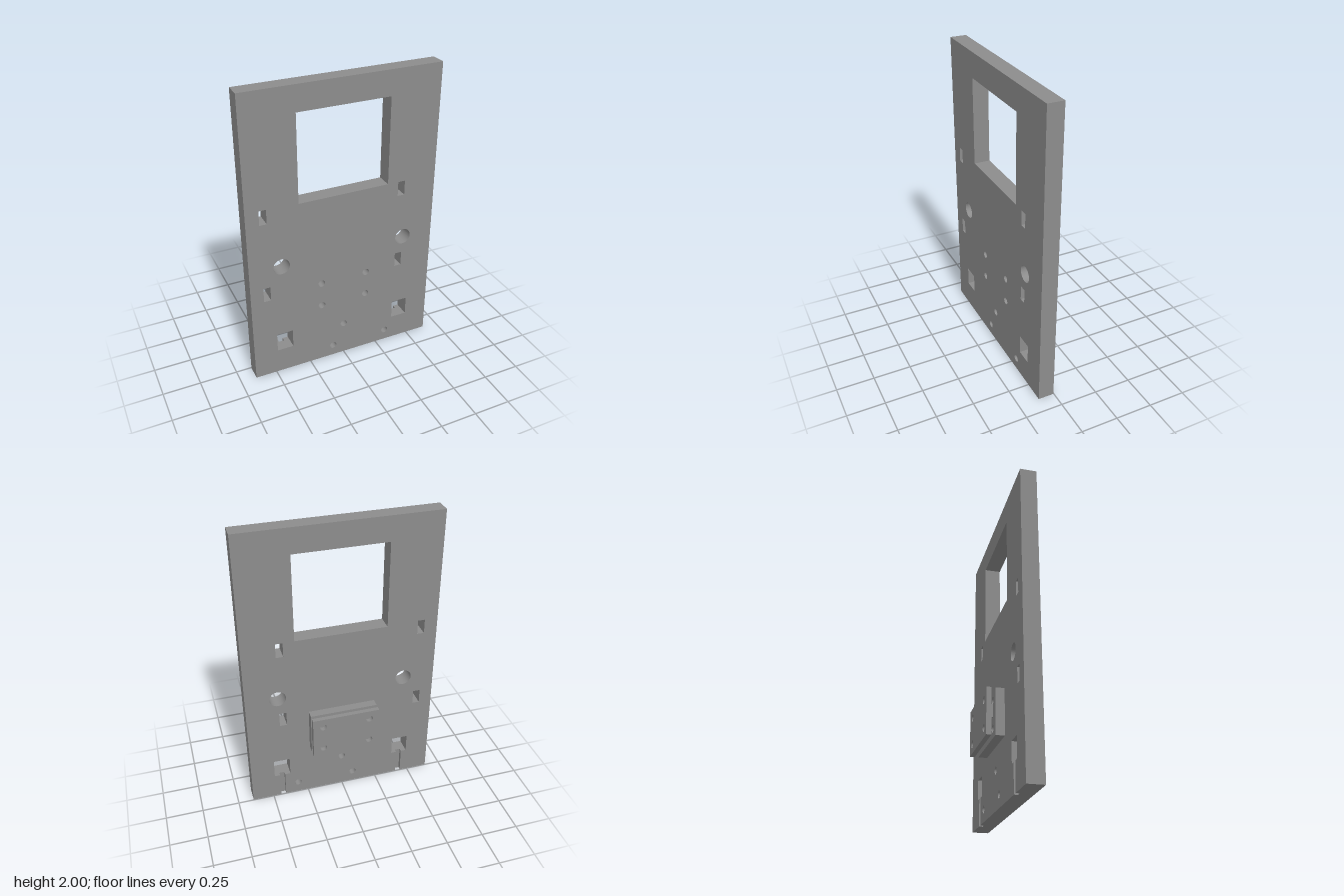
import * as THREE from 'three';

const FRONT = 0.109, GROOVE = 0.028, BACK = 0.003;

// Closed path from corner points
const poly = (Type, pts) => new Type(pts.map(([x, y]) => new THREE.Vector2(x, y)));
const rect = (Type, x0, x1, y0, y1) => poly(Type, [[x0, y0], [x1, y0], [x1, y1], [x0, y1]]);
const circle = (x, y, r) => new THREE.Path().absarc(x, y, r, 0, Math.PI * 2, true);

export function createModel() {
  const model = new THREE.Group();
  const grey = new THREE.MeshStandardMaterial({ color: 0x8c8c8c });
  grey.name = 'grey';

  // Extrude an outline between two depths
  function slab(name, shape, holes, z0, z1, parent) {
    shape.holes = holes;
    const geo = new THREE.ExtrudeGeometry(shape, { depth: z1 - z0, bevelEnabled: false, curveSegments: 36 });
    geo.translate(0, 0, z0);
    const mesh = new THREE.Mesh(geo, grey);
    mesh.name = name;
    parent.add(mesh);
  }

  // Openings that pass right through the panel
  const clampHoles = () => [-0.16, 0.16].flatMap(x => [0.451, 0.626].map(y => circle(x, y, 0.024)));
  const panelHoles = () => [
    rect(THREE.Path, -0.304, 0.304, 1.253, 1.835),
    rect(THREE.Path, -0.558, -0.511, 1.163, 1.262),
    rect(THREE.Path, -0.558, -0.511, 0.602, 0.703),
    rect(THREE.Path, 0.378, 0.426, 1.152, 1.252),
    rect(THREE.Path, 0.378, 0.426, 0.613, 0.713),
    circle(-0.43, 0.835, 0.055),
    circle(0.43, 0.835, 0.055),
    circle(0, 0.245, 0.024),
    circle(-0.08, 0.081, 0.024),
    circle(0.32, 0.081, 0.024),
    ...clampHoles(),
  ];

  // Panel: a front layer, and a back layer whose cable grooves run to the bottom edge
  const panel = new THREE.Group();
  panel.name = 'panel';
  model.add(panel);
  const W = 0.645, sx0 = 0.373, sx1 = 0.484, sy0 = 0.179, sy1 = 0.311;
  const squares = [
    rect(THREE.Path, -sx1, -sx0, sy0, sy1),
    rect(THREE.Path, sx0, sx1, sy0, sy1),
  ];
  slab('panelFront', rect(THREE.Shape, -W, W, 0, 2), [...panelHoles(), ...squares], GROOVE, FRONT, panel);

  const mid = (sx0 + sx1) / 2, g = 0.018;
  const notch = [
    [mid - g, 0], [mid - g, sy0], [sx0, sy0], [sx0, sy1],
    [sx1, sy1], [sx1, sy0], [mid + g, sy0], [mid + g, 0],
  ];
  const mirrored = notch.map(([x, y]) => [-x, y]).reverse();
  const outline = [[-W, 0], ...mirrored, ...notch, [W, 0], [W, 2], [-W, 2]];
  slab('panelBack', poly(THREE.Shape, outline), panelHoles(), BACK, GROOVE, panel);

  // Belt clamp behind the panel
  const clamp = new THREE.Group();
  clamp.name = 'beltClamp';
  model.add(clamp);
  const C = 0.2276;
  slab('clampBlock', rect(THREE.Shape, -C, C, 0.39, 0.688), clampHoles(), -0.054, BACK, clamp);
  slab('clampPlate', rect(THREE.Shape, -C, C, 0.39, 0.688), clampHoles(), -0.109, -0.078, clamp);

  // Row of teeth on the clamp plate
  const toothGeo = new THREE.BoxGeometry(0.014, 0.08, 0.011);
  for (let i = 0; i < 17; i++) {
    const tooth = new THREE.Mesh(toothGeo, grey);
    tooth.name = 'clampTooth';
    tooth.position.set((i - 8) * 0.0275, 0.539, -0.0725);
    clamp.add(tooth);
  }
  return model;
}
